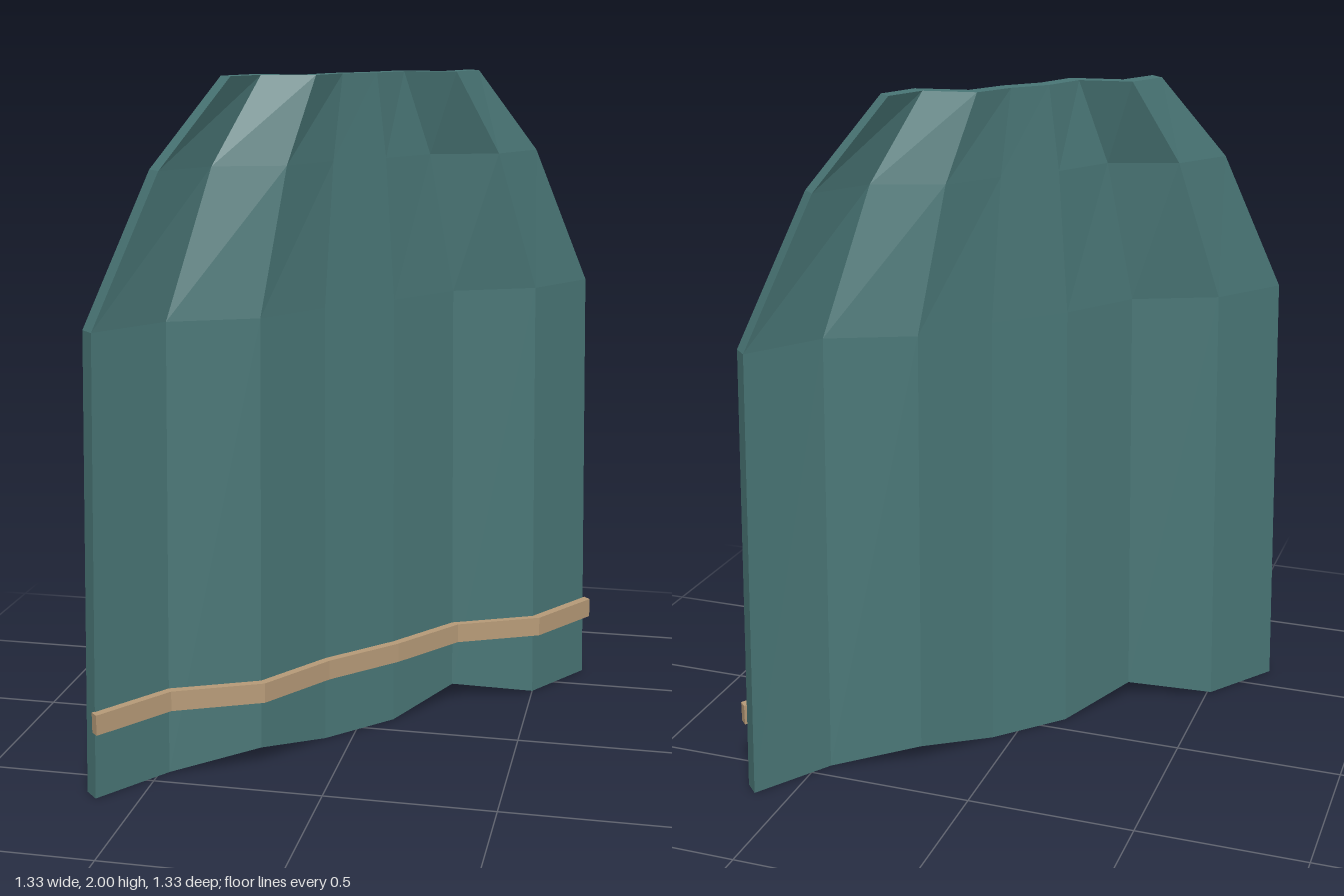
import * as THREE from 'three';

// Pleat depth of the cloth at eight evenly spaced folds
const FOLDS = [0.015, -0.028, 0.067, 0.016, 0.01, -0.028, 0.066, 0.014];
const N = FOLDS.length;

// Closed pleated slab. rows: [y, halfWidth] from bottom to top;
// front and back are depths added to the folds; lift raises folds of the bottom row.
function pleatedSlab(rows, front, back, lift = {}) {
  const positions = [];
  const quad = (a, b, c, d) => positions.push(...a, ...b, ...c, ...a, ...c, ...d);

  // Each row is a loop: front left to right, then back right to left
  const loops = rows.map(([y, half], r) => {
    const point = (i, depth) => [
      half * (2 * i / (N - 1) - 1),
      y + (r === 0 ? lift[i] || 0 : 0),
      FOLDS[i] + depth,
    ];
    const indices = FOLDS.map((_, i) => i);
    return [
      ...indices.map((i) => point(i, front)),
      ...indices.reverse().map((i) => point(i, back)),
    ];
  });

  // Walls
  for (let r = 0; r < loops.length - 1; r++) {
    for (let k = 0; k < 2 * N; k++) {
      const next = (k + 1) % (2 * N);
      quad(loops[r][k], loops[r][next], loops[r + 1][next], loops[r + 1][k]);
    }
  }

  // Top and bottom rims
  const bottom = loops[0];
  const top = loops[loops.length - 1];
  for (let i = 0; i < N - 1; i++) {
    const b = 2 * N - 1 - i;
    quad(top[i], top[i + 1], top[b - 1], top[b]);
    quad(bottom[b], bottom[b - 1], bottom[i + 1], bottom[i]);
  }

  const geometry = new THREE.BufferGeometry();
  geometry.setAttribute('position', new THREE.Float32BufferAttribute(positions, 3));
  geometry.computeVertexNormals();
  return geometry;
}

export function createModel() {
  const teal = new THREE.MeshStandardMaterial({ color: 0x4a7777, flatShading: true });
  teal.name = 'teal cloth';
  const tan = new THREE.MeshStandardMaterial({ color: 0xb89c79, flatShading: true });
  tan.name = 'tan trim';

  // Cloth panel, narrowing to the shoulders, with two raised points on the hem
  const cloth = new THREE.Mesh(
    pleatedSlab([[0, 0.898], [1.335, 0.863], [1.755, 0.65], [2, 0.424]], 0, -0.054, { 2: 0.05, 5: 0.05 }),
    teal,
  );
  cloth.name = 'cloakPanel';

  // Trim band following the folds near the hem
  const band = new THREE.Mesh(pleatedSlab([[0.2, 0.9], [0.26, 0.9]], 0.026, -0.002), tan);
  band.name = 'hemBand';

  // The panel stands diagonally
  const cloak = new THREE.Group();
  cloak.name = 'cloak';
  cloak.rotation.y = Math.PI / 4;
  cloak.add(cloth, band);

  const model = new THREE.Group();
  model.name = 'model';
  model.add(cloak);
  return model;
}
